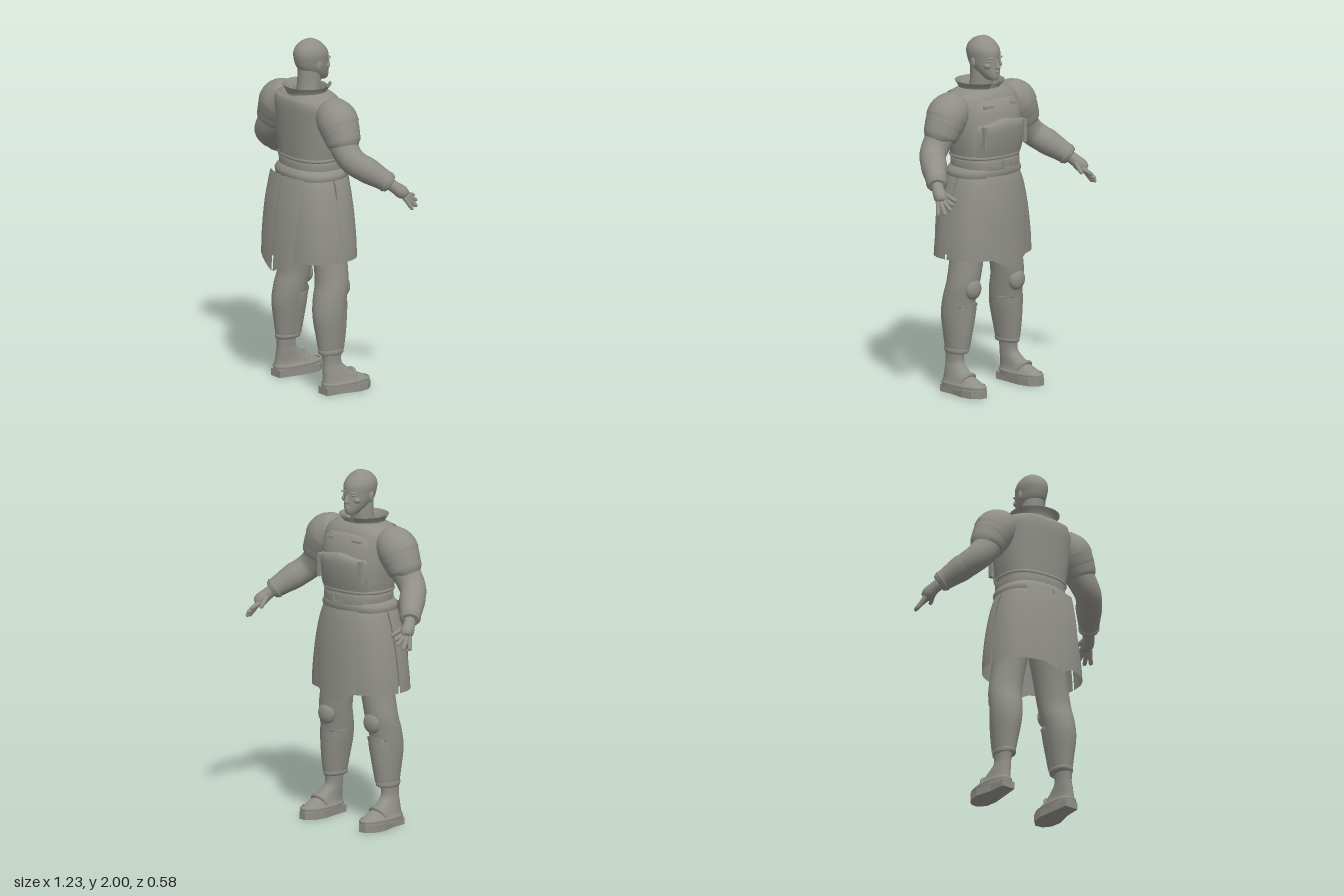
import * as THREE from 'three';

const stone = new THREE.MeshStandardMaterial({ color: 0x8f8e87, side: THREE.DoubleSide });
stone.name = 'stone grey';

const cubic = (a, b, c, d, t) =>
  0.5 * (2 * b + (c - a) * t + (2 * a - 5 * b + 4 * c - d) * t * t + (3 * b - a - 3 * c + d) * t ** 3);

// Smoothly resample a list of number rows
function refine(rows, steps) {
  const out = [], n = rows.length - 1;
  for (let i = 0; i < n; i++)
    for (let s = 0; s < steps; s++)
      out.push(rows[i].map((_, k) => cubic(rows[Math.max(i - 1, 0)][k], rows[i][k],
        rows[i + 1][k], rows[Math.min(i + 2, n)][k], s / steps)));
  out.push(rows[n]);
  return out;
}

// Skin a grid of points, optionally closed around each ring
function skin(rings, closed) {
  const w = rings[0].length, idx = [];
  for (let i = 0; i < rings.length - 1; i++)
    for (let j = 0; j < (closed ? w : w - 1); j++) {
      const k = (j + 1) % w, a = i * w + j, b = i * w + k;
      idx.push(a, a + w, b, b, a + w, b + w);
    }
  const g = new THREE.BufferGeometry();
  g.setAttribute('position', new THREE.Float32BufferAttribute(rings.flat(2), 3));
  g.setIndex(idx);
  g.computeVertexNormals();
  return g;
}

// Loft of level rounded sections, bottom to top: rows of [y, x0, x1, z0, z1]
function loft(rows, { n = 2, from = 0, to = Math.PI * 2, seg = 40, steps = 4, drop = () => 0 } = {}) {
  const closed = to - from > 6.28, pw = v => Math.sign(v) * Math.abs(v) ** (2 / n);
  const fine = refine(rows, steps);
  return skin(fine.map(([y, x0, x1, z0, z1], i) =>
    Array.from({ length: closed ? seg : seg + 1 }, (_, j) => {
      const a = from + (to - from) * j / seg, c = pw(Math.cos(a)), s = pw(Math.sin(a));
      return [(x0 + x1) / 2 + c * (x1 - x0) / 2, y - drop(c, 1 - i / (fine.length - 1)), (z0 + z1) / 2 + s * (z1 - z0) / 2];
    })), closed);
}

// Round limb through points of [x, y, z, radius]
function limb(pts, steps = 5, seg = 24) {
  const fine = refine(pts, steps), v = p => new THREE.Vector3(p[0], p[1], p[2]);
  return skin(fine.map((p, i) => {
    const t = v(fine[Math.min(i + 1, fine.length - 1)]).sub(v(fine[Math.max(i - 1, 0)])).normalize();
    const u = new THREE.Vector3(0, 0, 1).cross(t).normalize(), w = u.clone().cross(t);
    return Array.from({ length: seg }, (_, j) => {
      const a = j / seg * Math.PI * 2;
      return v(p).addScaledVector(u, Math.cos(a) * p[3]).addScaledVector(w, Math.sin(a) * p[3]).toArray();
    });
  }), true);
}

const sym = rows => rows.map(([y, r, z0, z1]) => [y, -r, r, z0, z1]);
const blob = (x, y, z, rx, ry, rz) => new THREE.SphereGeometry(1, 20, 14).scale(rx, ry, rz).translate(x, y, z);
const box = (x, y, z, w, h, d) => new THREE.BoxGeometry(w, h, d).translate(x, y, z);

export function createModel() {
  const model = new THREE.Group();
  const add = (name, geo, parent = model) => {
    const m = new THREE.Mesh(geo, stone);
    m.name = name;
    parent.add(m);
    return m;
  };

  // Head and neck; the figure looks towards -z
  add('head', loft(sym([[1.757, .004, -.07, -.06], [1.76, .026, -.085, -.01], [1.78, .043, -.092, .03], [1.805, .058, -.09, .07],
    [1.84, .072, -.086, .105], [1.88, .079, -.084, .12], [1.92, .083, -.08, .124], [1.955, .072, -.058, .11],
    [1.983, .047, -.025, .078], [1.997, .02, .005, .04], [2, .001, .018, .022]]), { n: 2.1 }));
  add('neck', loft(sym([[1.66, .075, -.03, .125], [1.72, .065, -.03, .105], [1.78, .062, -.035, .1], [1.84, .06, -.03, .1]])));
  add('nose', loft(sym([[1.822, .004, -.09, -.07], [1.828, .016, -.108, -.06], [1.842, .012, -.108, -.06], [1.875, .006, -.09, -.06]]), { seg: 16 }));
  add('upperLip', blob(0, 1.808, -.088, .021, .005, .009));
  add('lowerLip', blob(0, 1.799, -.087, .018, .005, .009));
  for (const s of [-1, 1]) {
    add('ear', blob(s * .082, 1.858, .022, .008, .028, .017)).rotation.z = 0;
    add('brow', blob(s * .033, 1.886, -.073, .024, .006, .012));
    add('eye', blob(s * .032, 1.87, -.07, .014, .007, .011));
    add('cheek', blob(s * .043, 1.842, -.054, .022, .018, .022));
  }

  // Flared collar, open at the throat
  add('collar', loft(sym([[1.675, .115, -.05, .16], [1.71, .12, -.06, .165], [1.745, .142, -.088, .186]]),
    { from: -1.3, to: Math.PI + 1.3, seg: 48 }));
  add('collarLining', loft(sym([[1.66, .1, -.05, .14], [1.705, .1, -.055, .145], [1.735, .116, -.065, .165]])));

  // Cuirass with a projecting belly plate
  add('cuirass', loft(sym([[1.335, .198, -.145, .168], [1.4, .208, -.15, .172], [1.48, .217, -.148, .176], [1.57, .222, -.132, .18],
    [1.64, .225, -.105, .18], [1.68, .2, -.085, .172], [1.705, .14, -.06, .15], [1.715, .09, -.04, .12]]), { n: 2.5, seg: 56 }));
  add('bellyPlate', loft(sym([[1.345, .19, -.155, .05], [1.42, .2, -.172, .05], [1.5, .2, -.18, .05], [1.545, .19, -.168, .05], [1.56, .18, -.14, .05]]),
    { n: 2.2, from: Math.PI + .45, to: Math.PI * 2 - .45, drop: (c, t) => (t < .5 ? .045 * (.5 - t) * Math.abs(c) * 2 : 0) }));
  add('chestPlate', loft(sym([[1.555, .19, -.15, .05], [1.6, .185, -.138, .05], [1.645, .165, -.113, .04], [1.665, .15, -.085, .04]]),
    { n: 2.3, from: Math.PI + .5, to: Math.PI * 2 - .5 }));
  add('backYoke', loft(sym([[1.635, .19, 0, .188], [1.67, .185, 0, .182], [1.69, .165, 0, .165]]),
    { n: 2.6, from: .75, to: Math.PI - .75, drop: (c, t) => -.02 * t * Math.abs(c) }));
  add('cuirassRim', loft(sym([[1.328, .2, -.15, .172], [1.336, .204, -.154, .176], [1.346, .2, -.15, .172]]), { n: 2.5, seg: 56, steps: 2 }));

  // Waist, belt and buckle
  add('waist', loft(sym([[1.2, .185, -.14, .165], [1.28, .186, -.145, .165], [1.35, .19, -.14, .16]]), { n: 2.4 }));
  add('sash', loft(sym([[1.222, .214, -.15, .19], [1.25, .215, -.158, .194], [1.283, .187, -.152, .172], [1.285, .16, -.12, .14]]), { n: 2.4, steps: 3 }));
  add('belt', loft(sym([[1.27, .188, -.158, .17], [1.275, .194, -.162, .174], [1.315, .194, -.162, .174], [1.32, .188, -.158, .17]]), { n: 2.4, steps: 1 }));
  const buckle = new THREE.Group();
  buckle.name = 'buckle';
  model.add(buckle);
  for (const s of [-1, 1]) {
    add('buckleSide', box(s * .028, 1.295, -.166, .009, .05, .012), buckle);
    add('buckleBar', box(0, 1.295 + s * .021, -.166, .06, .009, .012), buckle);
  }

  // Kilt: side skirts under split front and rear panels
  for (const s of [0, 1])
    for (const h of [0, 1]) {
      const a = s * Math.PI + h * Math.PI / 2;
      add('kiltQuarter', loft(sym([[.765, .29, -.187, .24], [.86, .284, -.186, .235], [1, .265, -.181, .225], [1.12, .24, -.172, .21],
        [1.2, .216, -.16, .195], [1.235, .2, -.145, .18]]), { n: 2.5, from: a + .012, to: a + Math.PI / 2 - .012, seg: 22 }));
    }
  const tip = (c, t) => .075 * t * t * (1 - Math.min(Math.abs(c) / .75, 1));
  const rear = sym([[.77, .195, .09, .29], [.9, .205, .08, .279], [1.06, .21, .06, .258], [1.18, .21, .035, .232], [1.24, .21, .02, .215]]);
  const fore = sym([[.775, .2, -.203, 0], [.9, .2, -.2, 0], [1.06, .195, -.193, 0], [1.18, .18, -.18, .02], [1.235, .17, -.168, .02]]);
  const mid = Math.PI / 2;
  for (const [lo, hi] of [[.72, mid - .03], [mid + .03, Math.PI - .72]]) {
    add('rearPanel', loft(rear, { from: lo, to: hi, seg: 14, drop: tip }));
    add('frontPanel', loft(fore, { from: lo + Math.PI, to: hi + Math.PI, seg: 14, drop: tip }));
  }

  // One side's limbs, built on +x and repeated as a mirror image
  const side = new THREE.Group();
  side.name = 'limbs';

  // Arm, layered shoulder guards and forearm guard
  add('arm', limb([[.22, 1.61, .03, .09], [.3, 1.5, .035, .084], [.355, 1.425, .038, .078], [.4, 1.375, .02, .074],
    [.445, 1.33, -.035, .07], [.49, 1.285, -.095, .056], [.525, 1.25, -.14, .042]]), side);
  add('shoulderGuard', limb([[.17, 1.655, .035, .04], [.185, 1.645, .035, .08], [.22, 1.62, .035, .103], [.26, 1.59, .035, .116],
    [.29, 1.555, .035, .113]]), side);
  add('shoulderBand', limb([[.272, 1.575, .035, .115], [.285, 1.55, .035, .112], [.308, 1.515, .035, .104], [.311, 1.509, .035, .085]], 3), side);
  add('lowerShoulderBand', limb([[.293, 1.54, .035, .108], [.31, 1.505, .035, .103], [.332, 1.465, .036, .092], [.334, 1.46, .036, .07]], 3), side);
  add('forearmGuard', limb([[.43, 1.345, -.018, .072], [.45, 1.326, -.042, .073], [.492, 1.284, -.097, .061], [.523, 1.253, -.137, .052], [.525, 1.251, -.139, .03]], 3), side);
  add('forearmStrap', limb([[.508, 1.268, -.118, .05], [.51, 1.266, -.12, .06], [.517, 1.259, -.129, .059], [.519, 1.257, -.131, .05]], 1), side);

  // Hand with spread fingers
  add('palm', limb([[.52, 1.253, -.135, .034], [.541, 1.227, -.165, .034], [.555, 1.202, -.195, .038], [.563, 1.183, -.218, .026], [.567, 1.178, -.223, .004]], 4, 16), side);
  const fingers = [[.542, 1.19, -.21, .547, 1.165, -.29], [.556, 1.182, -.218, .568, 1.138, -.292],
    [.568, 1.175, -.212, .594, 1.113, -.272], [.575, 1.176, -.198, .61, 1.105, -.232], [.528, 1.222, -.175, .494, 1.175, -.262]];
  for (const [x, y, z, X, Y, Z] of fingers) {
    const at = (t, r) => [x + (X - x) * t, y + (Y - y) * t, z + (Z - z) * t, r];
    add('finger', limb([at(0, .015), at(.5, .013), at(.9, .011), at(1, .003)], 3, 10), side);
  }

  // Leg, knee guard and shin guard
  add('leg', loft([[.225, .172, .246, -.035, .1], [.235, .148, .252, -.04, .105], [.32, .13, .262, -.05, .118], [.44, .108, .273, -.058, .134], [.54, .092, .273, -.072, .122],
    [.63, .08, .266, -.09, .1], [.77, .055, .243, -.097, .098], [.95, .015, .22, -.1, .11], [1.1, .005, .19, -.1, .12]]), side);
  add('kneeGuard', blob(.172, .595, -.07, .056, .062, .035), side);
  add('shinGuard', loft([[.25, .14, .256, -.05, .09], [.34, .125, .262, -.064, .1], [.44, .106, .265, -.075, .11], [.5, .1, .262, -.08, .11], [.525, .1, .255, -.083, .1]],
    { from: Math.PI - .1, to: Math.PI * 2 - .35, drop: (c, t) => (t < .2 ? .03 * Math.abs(c) : 0) }), side);
  add('legCuff', loft([[.222, .165, .25, -.036, .1], [.23, .144, .256, -.046, .109], [.25, .142, .257, -.046, .11], [.253, .15, .25, -.04, .1]], { steps: 2 }), side);

  // Shoe and sole
  add('shoe', loft([[.03, .16, .29, -.205, .1], [.058, .16, .288, -.203, .1], [.08, .168, .278, -.165, .097], [.105, .172, .27, -.11, .094],
    [.14, .173, .26, -.058, .092], [.18, .174, .25, -.024, .09], [.25, .17, .25, -.03, .098]], { n: 2.3 }), side);
  add('shoeBand', loft([[.05, .157, .291, -.207, .104], [.06, .156, .292, -.208, .105], [.068, .162, .286, -.198, .1]], { n: 2.4, steps: 2 }), side);
  add('shoeStrap', limb([[.166, .07, -.07, .008], [.185, .105, -.09, .011], [.222, .118, -.098, .012], [.258, .105, -.09, .011], [.28, .07, -.07, .008]], 4, 10), side);
  const outline = new THREE.Shape([[.18, .1], [.262, .1], [.268, 0], [.294, -.1], [.285, -.165], [.25, -.207], [.205, -.212], [.165, -.17], [.156, -.1], [.168, 0]]
    .map(([x, z]) => new THREE.Vector2(x, -z)));
  add('sole', new THREE.ExtrudeGeometry(outline, { depth: .042, bevelEnabled: false }).rotateX(-Math.PI / 2), side);

  // Side straps of the cuirass
  add('cuirassStrap', box(.155, 1.46, -.142, .022, .13, .03).rotateY(0), side);
  add('chestClasp', box(.1, 1.625, -.118, .06, .014, .02), side);

  const mirrored = side.clone();
  mirrored.scale.x = -1;
  model.add(side, mirrored);
  return model;
}
